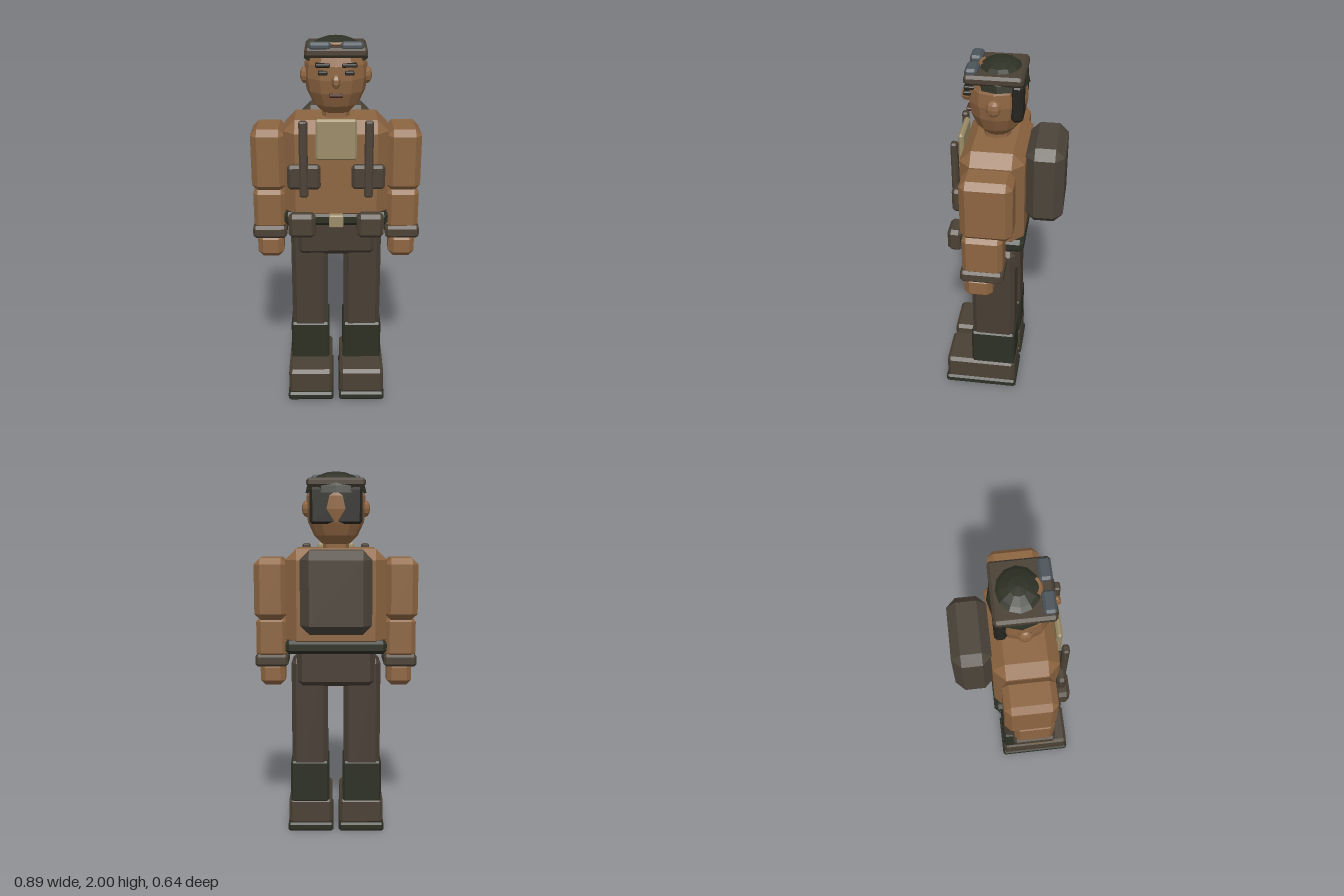
import * as THREE from 'three';
import { ConvexGeometry } from 'three/addons/geometries/ConvexGeometry.js';

const paint = (name, color) => {
  const m = new THREE.MeshStandardMaterial({ color });
  m.name = name;
  m.flatShading = true;
  return m;
};

// Box given by its limits, with every edge cut at 45 degrees
function chamferBox([x0, x1], [y0, y1], [z0, z1], c) {
  const h = [(x1 - x0) / 2, (y1 - y0) / 2, (z1 - z0) / 2];
  const points = [];
  for (const sx of [-1, 1]) for (const sy of [-1, 1]) for (const sz of [-1, 1]) {
    const s = [sx, sy, sz];
    for (let axis = 0; axis < 3; axis++) {
      const p = h.map((v, i) => s[i] * (i === axis ? v : v - c));
      points.push(new THREE.Vector3(...p));
    }
  }
  return new ConvexGeometry(points).translate((x0 + x1) / 2, (y0 + y1) / 2, (z0 + z1) / 2);
}

export function createModel() {
  const model = new THREE.Group();
  model.name = 'figure';

  const skin = paint('skin', 0x8f6642);
  const shirt = paint('shirt brown', 0x8d6541);
  const trousers = paint('trouser brown', 0x483e34);
  const gear = paint('gear brown', 0x4b4135);
  const pack = paint('pack grey brown', 0x4c443a);
  const green = paint('dark green', 0x2d3024);
  const dark = paint('near black', 0x26241f);
  const cream = paint('khaki', 0x9c8d69);
  const glass = paint('slate glass', 0x4b545a);
  const lip = paint('lip brown', 0x50342a);

  const add = (name, geometry, material) => {
    const mesh = new THREE.Mesh(geometry, material);
    mesh.name = name;
    model.add(mesh);
    return mesh;
  };
  const box = (name, x, y, z, c, material) => add(name, chamferBox(x, y, z, c), material);
  // Same box on both sides; x limits are given for the left (+x)
  const pair = (name, [a, b], y, z, c, material) => {
    box('left' + name, [a, b], y, z, c, material);
    box('right' + name, [-b, -a], y, z, c, material);
  };
  const ball = (name, [x, y, z], [rx, ry, rz], ws, hs, material) =>
    add(name, new THREE.SphereGeometry(1, ws, hs).scale(rx, ry, rz).translate(x, y, z), material);

  // Legs and boots
  pair('Sole', [0.015, 0.27], [0, 0.05], [-0.1, 0.32], 0.012, green);
  pair('Boot', [0.02, 0.265], [0.04, 0.19], [-0.092, 0.31], 0.018, gear);
  pair('Gaiter', [0.038, 0.253], [0.17, 0.41], [-0.09, 0.16], 0.012, green);
  pair('Leg', [0.045, 0.245], [0.16, 0.99], [-0.085, 0.153], 0.025, trousers);
  box('hips', [-0.215, 0.215], [0.84, 1.06], [-0.11, 0.175], 0.03, trousers);

  // Trunk
  box('torso', [-0.273, 0.273], [1.04, 1.592], [-0.13, 0.2], 0.06, shirt);
  box('belt', [-0.275, 0.275], [1.025, 1.1], [-0.135, 0.203], 0.02, green);
  box('buckle', [-0.038, 0.038], [1.03, 1.1], [0.19, 0.235], 0.006, cream);
  box('chestPanel', [-0.105, 0.105], [1.4, 1.615], [0.195, 0.225], 0.01, cream);
  box('backpack', [-0.187, 0.187], [1.155, 1.59], [-0.325, -0.125], 0.048, pack);

  // Straps and pouches
  pair('Strap', [0.145, 0.19], [1.205, 1.61], [0.213, 0.248], 0.008, gear);
  pair('ChestPouch', [0.08, 0.253], [1.245, 1.375], [0.19, 0.24], 0.015, gear);
  pair('BeltPouch', [0.108, 0.25], [0.985, 1.115], [0.195, 0.275], 0.02, gear);

  // Arms
  pair('UpperArm', [0.265, 0.445], [1.205, 1.54], [-0.095, 0.17], 0.033, shirt);
  pair('Forearm', [0.27, 0.44], [0.99, 1.215], [-0.045, 0.165], 0.025, shirt);
  pair('Cuff', [0.265, 0.447], [0.94, 1.01], [-0.05, 0.175], 0.015, gear);
  pair('Hand', [0.285, 0.425], [0.823, 0.955], [0.01, 0.16], 0.028, skin);

  // Head: faceted profile turned around the neck
  add('neck', new THREE.CylinderGeometry(0.068, 0.075, 0.12, 8).translate(0, 1.61, 0.035), skin);
  const profile = [[0, 1.605], [0.075, 1.615], [0.12, 1.66], [0.152, 1.73],
    [0.164, 1.8], [0.16, 1.87], [0.135, 1.93], [0, 1.96]];
  add('head', new THREE.LatheGeometry(profile.map(p => new THREE.Vector2(...p)), 12)
    .scale(1, 1, 0.93).translate(0, 0, 0.032), skin);

  // Face
  ball('nose', [0, 1.8, 0.188], [0.024, 0.038, 0.034], 6, 5, skin);
  box('mouth', [-0.035, 0.035], [1.718, 1.735], [0.155, 0.19], 0.004, lip);
  pair('Eye', [0.043, 0.09], [1.83, 1.85], [0.14, 0.194], 0.005, dark);
  pair('Brow', [0.03, 0.105], [1.868, 1.886], [0.13, 0.187], 0.005, dark);
  for (const s of [-1, 1])
    ball(s > 0 ? 'leftEar' : 'rightEar', [s * 0.16, 1.803, 0.033], [0.026, 0.045, 0.038], 8, 6, skin);

  // Hair and cap
  box('hair', [-0.14, 0.14], [1.72, 1.915], [-0.108, -0.048], 0.015, dark);
  const crown = add('crown', new THREE.SphereGeometry(1, 12, 5, 0, Math.PI * 2, 0, Math.PI / 2)
    .scale(0.165, 0.115, 0.145).translate(0, 1.885, 0.017), green);
  crown.material.side = THREE.DoubleSide;
  box('capPlate', [-0.157, 0.157], [1.913, 1.963], [-0.11, 0.18], 0.014, gear);

  // Goggles resting on the cap
  pair('Lens', [0.025, 0.137], [1.95, 1.988], [0.115, 0.177], 0.012, glass);
  const bridge = new THREE.TorusGeometry(0.062, 0.01, 5, 6, Math.PI * 0.45)
    .rotateZ(Math.PI * 0.275).rotateX(Math.PI / 2).translate(0, 1.972, 0.055);
  add('goggleBridge', bridge, skin);

  return model;
}
